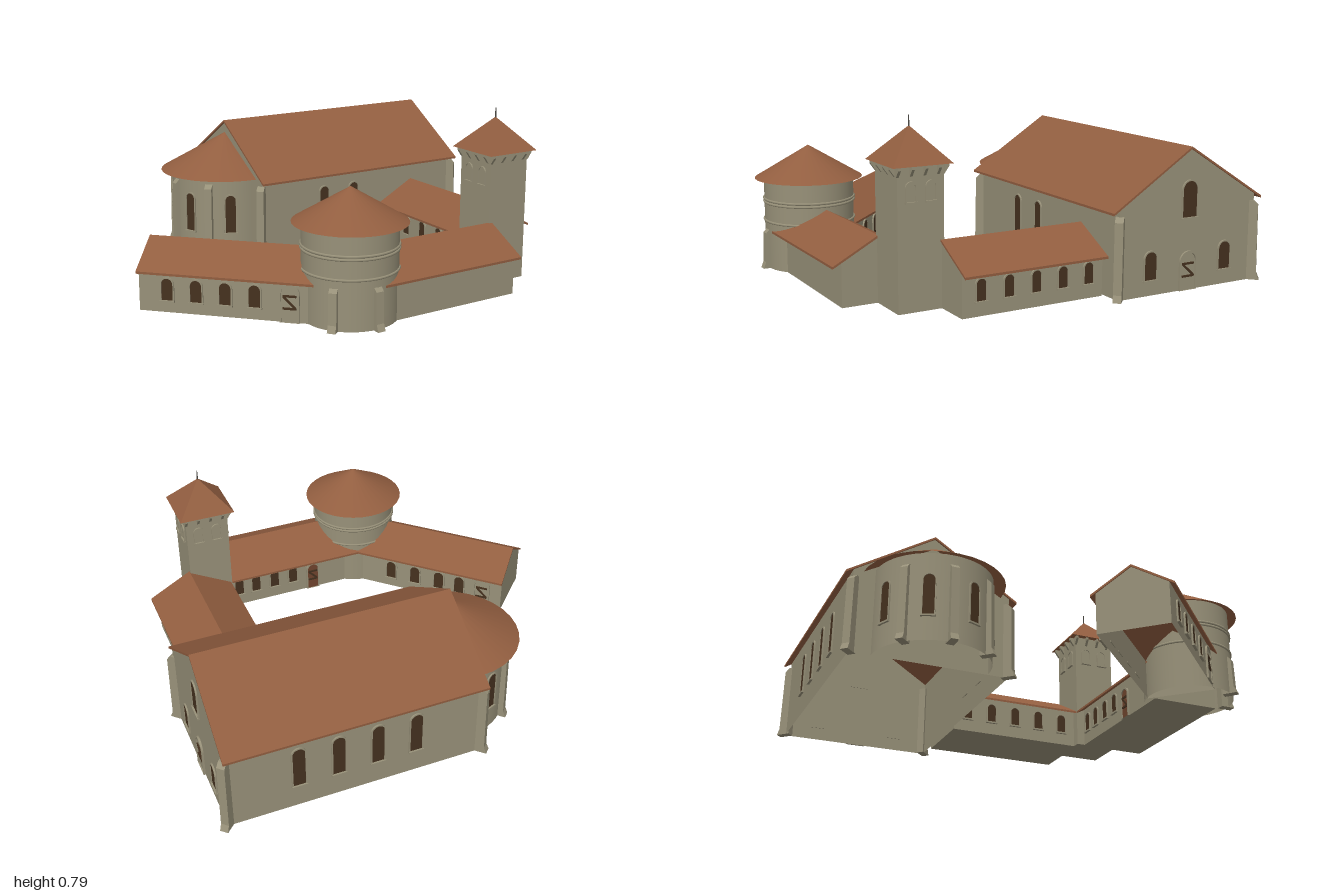
import * as THREE from 'three';
import { toCreasedNormals } from 'three/addons/utils/BufferGeometryUtils.js';

const mat = (name, color) => {
  const m = new THREE.MeshStandardMaterial({ color, side: THREE.DoubleSide });
  m.name = name;
  return m;
};
const stone = mat('stone', 0x989179);
const tile = mat('roofTile', 0x925e40);
const dark = mat('darkGlass', 0x45311f);
const wood = mat('doorWood', 0x71452e);
const metal = mat('metal', 0x4c4a45);

function add(parent, name, geo, material, x = 0, y = 0, z = 0, ry = 0) {
  const m = new THREE.Mesh(geo, material);
  m.name = name;
  m.position.set(x, y, z);
  m.rotation.y = ry;
  parent.add(m);
  return m;
}
function group(parent, name, x = 0, y = 0, z = 0, ry = 0) {
  const g = new THREE.Group();
  g.name = name;
  g.position.set(x, y, z);
  g.rotation.y = ry;
  parent.add(g);
  return g;
}
const poly = pts => new THREE.Shape(pts.map(p => new THREE.Vector2(...p)));
const extrude = (shape, depth) =>
  new THREE.ExtrudeGeometry(shape, { depth, bevelEnabled: false, curveSegments: 8 });

// round-headed outline standing on y = 0
function arch(w, h, Type = THREE.Shape) {
  const r = w / 2, s = new Type();
  s.moveTo(-r, 0);
  s.lineTo(r, 0);
  s.lineTo(r, h - r);
  s.absarc(0, h - r, r, 0, Math.PI, false);
  s.lineTo(-r, 0);
  return s;
}

// arched window, facing local +z
function addWindow(parent, x, y, z, ry, w, h, pane = dark) {
  const g = group(parent, 'window', x, y, z, ry);
  const frame = arch(w + 0.012, h + 0.006);
  frame.holes.push(arch(w, h, THREE.Path));
  add(g, 'windowFrame', extrude(frame, 0.007), stone);
  add(g, 'windowPane', new THREE.ShapeGeometry(arch(w, h), 8), pane, 0, 0, 0.003);
  add(g, 'windowSill', new THREE.BoxGeometry(w + 0.014, 0.008, 0.014), stone, 0, 0, 0.004);
}

// arched door with a diagonal brace, facing local +z
function addDoor(parent, x, z, ry, w, h, panel = stone) {
  const g = group(parent, 'door', x, 0, z, ry);
  const frame = arch(w, h);
  frame.holes.push(arch(w - 0.014, h - 0.007, THREE.Path));
  add(g, 'doorFrame', extrude(frame, 0.009), stone);
  add(g, 'doorPanel', new THREE.ShapeGeometry(arch(w - 0.014, h - 0.007), 8), panel, 0, 0, 0.003);
  const bw = w * 0.68, y0 = h * 0.36, y1 = h * 0.68;
  for (const y of [y0, y1])
    add(g, 'doorStrap', new THREE.BoxGeometry(bw, 0.009, 0.006), dark, 0, y, 0.005);
  const brace = add(g, 'doorBrace', new THREE.BoxGeometry(Math.hypot(bw, y1 - y0) * 0.9, 0.009, 0.006),
    dark, 0, (y0 + y1) / 2, 0.005);
  brace.rotation.z = -Math.atan2(y1 - y0, bw);
}

// buttress with splayed foot, projecting along local +x
function addButtress(parent, x, z, ry, h) {
  const geo = extrude(poly([[-0.03, 0], [0.036, 0], [0.024, 0.03], [0.02, h - 0.02], [0, h], [-0.03, h]]), 0.036);
  geo.translate(0, 0, -0.018);
  add(parent, 'buttress', geo, stone, x, 0, z, ry);
}

// gabled building running along local z
function hall(parent, name, x, z, ry, o) {
  const g = group(parent, name, x, 0, z, ry);
  const { len, wall, roof, eave, ridge, floor, inset = 0.005 } = o;
  const k = (ridge - eave) / roof, L = len - 2 * inset, t = 0.01;
  const top = ridge - t - k * wall;
  for (const s of [-1, 1]) {
    add(g, 'sideWall', new THREE.PlaneGeometry(L, top), stone, s * wall, top / 2, 0, s * Math.PI / 2);
    add(g, 'gableWall', new THREE.ShapeGeometry(
      poly([[-wall, 0], [wall, 0], [wall, top], [0, ridge - t], [-wall, top]])),
      stone, 0, 0, s * L / 2, s > 0 ? 0 : Math.PI);
  }
  const cover = extrude(poly([[-roof, eave - t], [0, ridge - t], [roof, eave - t],
    [roof, eave], [0, ridge], [-roof, eave]]), len);
  add(g, 'gableRoof', cover, tile, 0, 0, -len / 2);
  if (floor) add(g, 'floor', new THREE.BoxGeometry(wall * 2, 0.004, L), stone, 0, 0.002, 0);
  return g;
}
// row of windows on one long wall of a hall
function row(g, side, wall, list, y, w, h) {
  for (const s of list) addWindow(g, side * wall, y, s, side * Math.PI / 2, w, h);
}

export function createModel() {
  const root = new THREE.Group();
  root.name = 'monastery';
  const H = Math.PI / 2;

  // church nave; local z runs along world x, local +x is the back
  const nave = hall(root, 'nave', 0.388, -0.545, H,
    { len: 1.165, wall: 0.362, roof: 0.397, eave: 0.375, ridge: 0.622, inset: 0.008 });
  row(nave, 1, 0.362, [-0.262, -0.0875, 0.0875, 0.262], 0.11, 0.055, 0.2);
  row(nave, -1, 0.362, [-0.217, -0.043], 0.11, 0.05, 0.2);
  const end = 0.5745;
  for (const x of [-0.2, 0.2]) addWindow(nave, x, 0.065, end, 0, 0.062, 0.125);
  addWindow(nave, 0, 0.315, end, 0, 0.076, 0.16);
  addDoor(nave, 0, end, 0, 0.092, 0.172);
  for (const sx of [-1, 1]) for (const sz of [-1, 1])
    addButtress(nave, sx * 0.362, sz * end, Math.atan2(-sz, sx), 0.355);

  // half-round apse
  const apse = group(root, 'apse', -0.19, 0, -0.545);
  add(apse, 'apseWall', new THREE.CylinderGeometry(0.265, 0.265, 0.4, 24, 1, true, Math.PI, Math.PI), stone, 0, 0.2, 0);
  add(apse, 'apseRoof', new THREE.ConeGeometry(0.32, 0.18, 16, 1, true, Math.PI, Math.PI), tile, 0, 0.472, 0);
  for (const d of [-67.5, -22.5, 22.5, 67.5]) {
    const a = -H + d * Math.PI / 180;
    addWindow(apse, Math.sin(a) * 0.263, 0.11, Math.cos(a) * 0.263, a, 0.05, 0.19);
  }
  for (const d of [-45, 0, 45]) {
    const a = -H + d * Math.PI / 180;
    addButtress(apse, Math.sin(a) * 0.265, Math.cos(a) * 0.265, a - H, 0.355);
  }

  // east wing between nave and tower
  const low = { wall: 0.168, roof: 0.203, eave: 0.178, ridge: 0.287 };
  const east = hall(root, 'eastWing', 0.697, 0.165, 0, { ...low, len: 0.68, floor: true });
  const bays = [0.25, 0.121, -0.008, -0.136, -0.264];
  for (const s of [-1, 1]) row(east, s, 0.168, bays, 0.06, 0.044, 0.095);

  // south wing between tower and rotunda; local +x faces the courtyard
  const south = hall(root, 'southWing', 0.1325, 0.692, H, { ...low, wall: 0.163, len: 0.745, floor: true });
  row(south, 1, 0.163, [0.02, 0.12, 0.22, 0.31], 0.06, 0.044, 0.095);
  addDoor(south, 0.163, -0.09, H, 0.07, 0.15, wood);

  // diagonal west wing; local -x is the outer side
  const west = hall(root, 'westWing', -0.601, 0.339, Math.PI / 4,
    { ...low, wall: 0.155, roof: 0.178, len: 0.775 });
  row(west, -1, 0.155, [-0.257, -0.13, -0.003, 0.124], 0.05, 0.05, 0.1);
  addDoor(west, -0.155, 0.273, -H, 0.085, 0.168);
  row(west, 1, 0.155, [-0.16, -0.05, 0.08, 0.21], 0.05, 0.05, 0.1);
  addDoor(west, 0.155, -0.28, H, 0.085, 0.168);

  // rotunda
  const rot = group(root, 'rotunda', -0.258, 0, 0.695);
  add(rot, 'rotundaWall', new THREE.CylinderGeometry(0.205, 0.205, 0.425, 40, 1, true), stone, 0, 0.2125, 0);
  for (const y of [0.218, 0.303, 0.317]) {
    const band = add(rot, 'stoneBand', new THREE.TorusGeometry(0.206, 0.006, 6, 40), stone, 0, y, 0);
    band.rotation.x = H;
  }
  add(rot, 'rotundaRoof', new THREE.ConeGeometry(0.246, 0.147, 32, 1, true), tile, 0, 0.483, 0);
  for (const d of [0, -52]) {
    const a = d * Math.PI / 180;
    addButtress(rot, Math.sin(a) * 0.2, Math.cos(a) * 0.2, a - H, 0.185);
  }

  // bell tower
  const tower = group(root, 'tower', 0.592, 0, 0.592);
  add(tower, 'towerBody', new THREE.BoxGeometry(0.207, 0.6, 0.207), stone, 0, 0.3, 0);
  const cap = toCreasedNormals(new THREE.ConeGeometry(0.133 * Math.SQRT2, 0.145, 4).rotateY(Math.PI / 4), 0.5);
  add(tower, 'towerRoof', cap, tile, 0, 0.6705, 0);
  add(tower, 'finial', new THREE.CylinderGeometry(0.002, 0.004, 0.06, 6), metal, 0, 0.755, 0);
  for (let i = 0; i < 4; i++) {
    const face = group(tower, 'towerFace', 0, 0, 0, i * H);
    for (const x of [-0.09, -0.03, 0.03, 0.09])
      add(face, 'corbel', extrude(poly([[0, 0.555], [0.022, 0.585], [0.022, 0.6], [0, 0.6]]), 0.012),
        stone, x + 0.006 - 0.012, 0, 0.1035, -H);
    // the front face stays blank
    if (i > 0) for (const x of [-0.045, 0.045])
      addWindow(face, x, 0.45, 0.1035, 0, 0.038, 0.08, stone);
  }
  return root;
}
